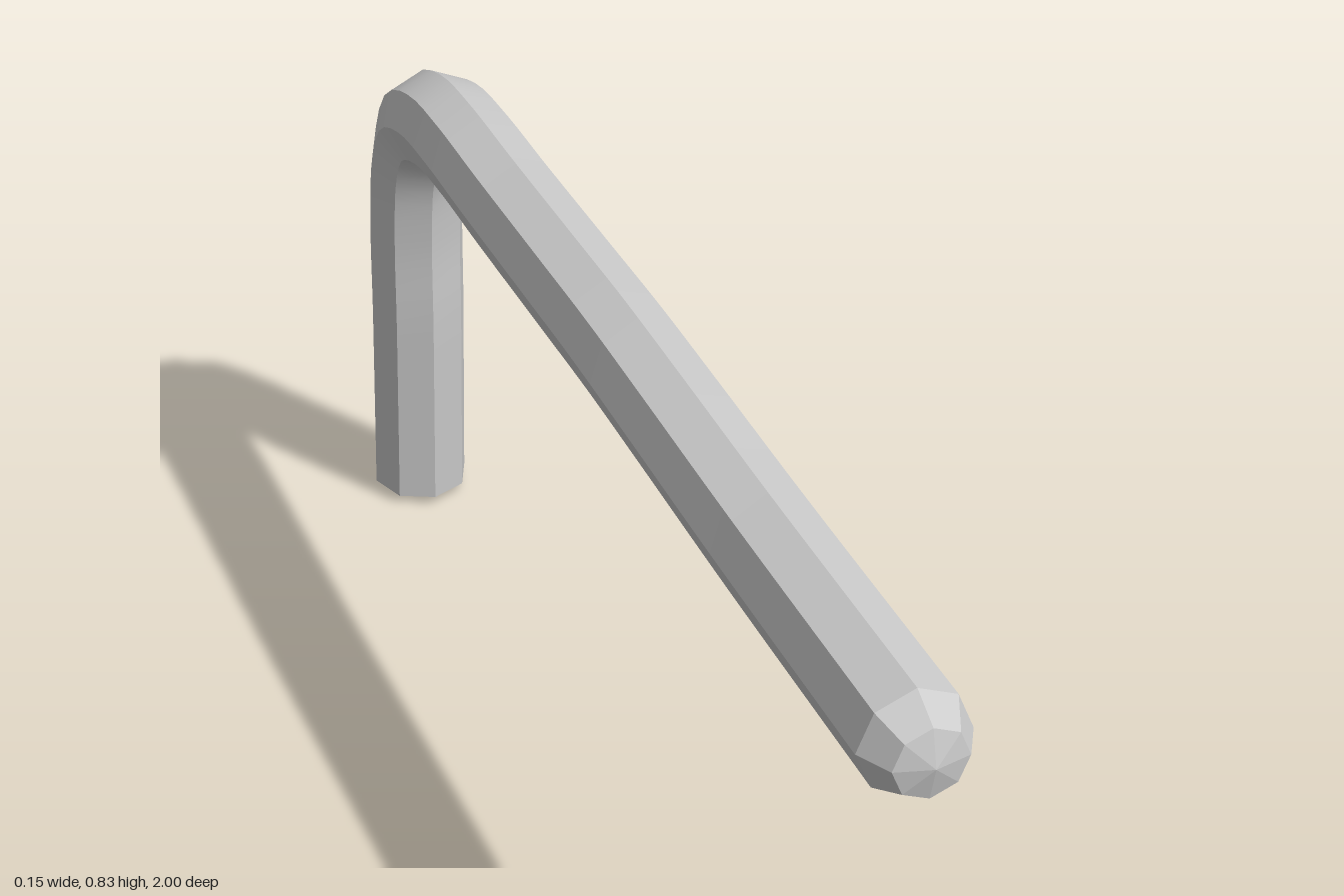
import * as THREE from 'three';
import { mergeVertices } from 'three/addons/utils/BufferGeometryUtils.js';

const SIDES = 8;
const RADIUS = 0.075;

// Octagonal ring around a centre; the bar lies in the plane x = 0
function ring(center, tangent, radius) {
  const x = new THREE.Vector3(1, 0, 0);
  const n = new THREE.Vector3().crossVectors(tangent, x).normalize();
  return Array.from({ length: SIDES }, (_, k) => {
    const a = (k / SIDES) * Math.PI * 2;
    return center.clone().addScaledVector(x, radius * Math.cos(a)).addScaledVector(n, radius * Math.sin(a));
  });
}

function toGeometry(points) {
  return new THREE.BufferGeometry().setFromPoints(points);
}

// One lengthwise facet, smooth along its length and creased at its sides
function facet(rings, k) {
  const pts = [];
  const j = (k + 1) % SIDES;
  for (let i = 0; i < rings.length - 1; i++) {
    const a = rings[i][k], b = rings[i][j], c = rings[i + 1][j], d = rings[i + 1][k];
    pts.push(a, b, c, a, c, d);
  }
  const geo = mergeVertices(toGeometry(pts));
  geo.computeVertexNormals();
  return geo;
}

// Bevelled end: outer ring, smaller ring, shallow point
function cap(outer, inner, tip, flip) {
  const pts = [];
  const tri = (a, b, c) => (flip ? pts.push(a, c, b) : pts.push(a, b, c));
  for (let k = 0; k < SIDES; k++) {
    const j = (k + 1) % SIDES;
    tri(outer[k], outer[j], inner[j]);
    tri(outer[k], inner[j], inner[k]);
    tri(inner[k], inner[j], tip);
  }
  const geo = toGeometry(pts);
  geo.computeVertexNormals();
  return geo;
}

export function createModel() {
  const group = new THREE.Group();
  group.name = 'hexKey';
  const material = new THREE.MeshStandardMaterial({ color: 0xcccccc });
  const add = (geo, name, parent = group) => {
    const mesh = new THREE.Mesh(geo, material);
    mesh.name = name;
    parent.add(mesh);
  };

  // Centre line as [z, y], from the long arm's end to the short arm's foot
  const path = new THREE.CatmullRomCurve3([
    [0.94, 0.746], [0.5, 0.748], [0.2, 0.754], [0, 0.757], [-0.2, 0.754], [-0.45, 0.75],
    [-0.62, 0.749], [-0.74, 0.738], [-0.835, 0.697], [-0.882, 0.62], [-0.902, 0.5],
    [-0.907, 0.35], [-0.915, 0.2], [-0.925, 0.02],
  ].map(([z, y]) => new THREE.Vector3(0, y, z)));

  const STEPS = 72;
  const rings = [];
  for (let i = 0; i <= STEPS; i++) {
    rings.push(ring(path.getPointAt(i / STEPS), path.getTangentAt(i / STEPS), RADIUS));
  }

  // Bent bar
  const bar = new THREE.Group();
  bar.name = 'bentBar';
  group.add(bar);
  for (let k = 0; k < SIDES; k++) add(facet(rings, k), 'barFacet' + (k + 1), bar);

  // Rounded end of the long arm and nearly flat foot of the short arm
  const addEnd = (u, depth, radius, tipDepth, name) => {
    const t = path.getTangentAt(u);
    const dir = t.clone().multiplyScalar(u === 0 ? -1 : 1);
    const at = (d) => path.getPointAt(u).addScaledVector(dir, d);
    add(cap(rings[u * STEPS], ring(at(depth), t, radius), at(tipDepth), u === 0), name);
  };
  addEnd(0, 0.047, 0.05, 0.06, 'longArmEnd');
  addEnd(1, 0.012, 0.055, 0.017, 'shortArmFoot');

  return group;
}
